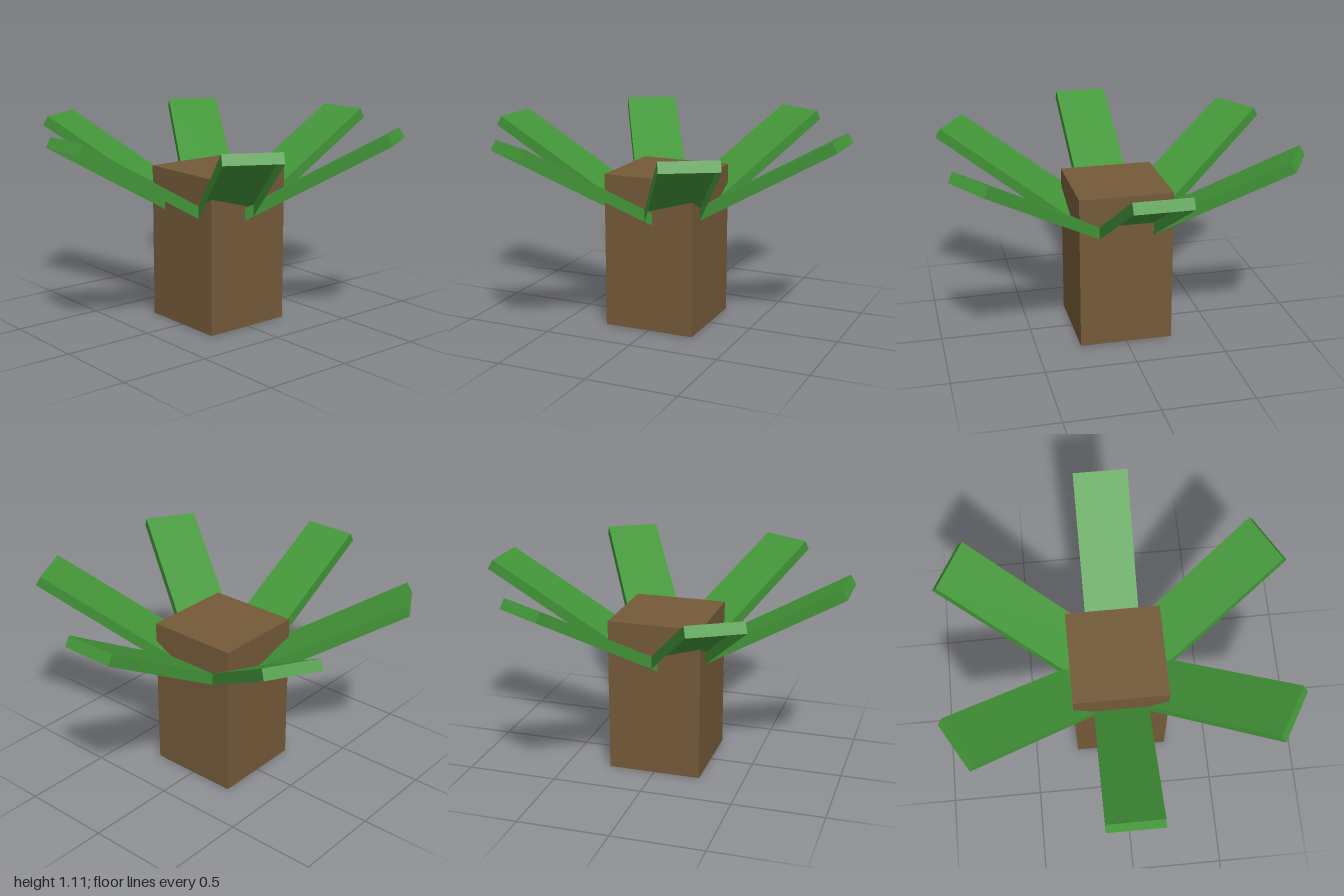
import * as THREE from 'three';

const bark = new THREE.MeshStandardMaterial({ color: 0x745a39, side: THREE.DoubleSide });
bark.name = 'barkBrown';
const leafGreen = new THREE.MeshStandardMaterial({ color: 0x439639, side: THREE.DoubleSide });
leafGreen.name = 'leafGreen';

// Box without some faces; face order is +x, -x, +y, -y, +z, -z
function openBox(w, h, d, missing) {
  const geo = new THREE.BoxGeometry(w, h, d);
  const kept = Array.from(geo.index.array).filter((_, i) => !missing.includes(Math.floor(i / 6)));
  geo.setIndex(kept);
  geo.clearGroups();
  return geo;
}

export function createModel() {
  const model = new THREE.Group();
  model.name = 'leafyStump';

  // Square trunk, hollow from below
  const height = 0.86;
  const trunk = new THREE.Mesh(openBox(0.516, height, 0.516, [3]), bark);
  trunk.name = 'trunk';
  trunk.position.y = height / 2;
  model.add(trunk);

  // One leaf: a shallow channel open underneath, rising at 30 degrees to its tip
  const length = 1.0, thickness = 0.06, width = 0.298;
  const leafGeo = openBox(length, thickness, width, [1, 3]);
  leafGeo.translate(-length / 2, thickness / 2, 0);
  leafGeo.rotateZ(Math.PI / 6);
  leafGeo.translate(1, 1.058, 0);

  // Six leaves around the trunk
  const leaves = new THREE.Group();
  leaves.name = 'leaves';
  for (let i = 0; i < 6; i++) {
    const leaf = new THREE.Mesh(leafGeo, leafGreen);
    leaf.name = `leaf${i + 1}`;
    leaf.rotation.y = (i * Math.PI) / 3;
    leaves.add(leaf);
  }
  model.add(leaves);
  return model;
}
